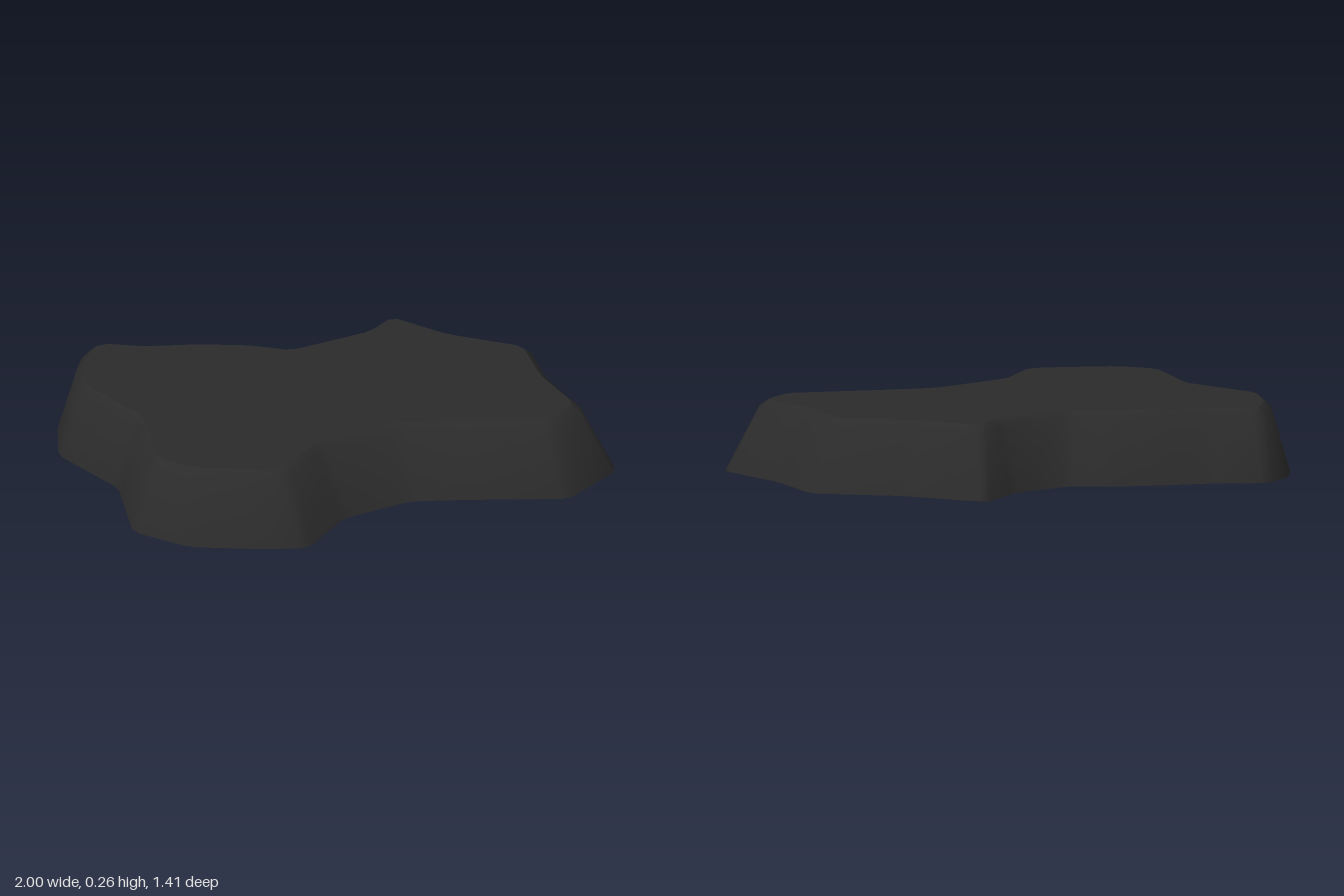
import * as THREE from 'three';
import { toCreasedNormals } from 'three/addons/utils/BufferGeometryUtils.js';

// Footprint corners (x, z), clockwise seen from above
const corners = [
  [-0.8, -0.655], [-0.59, -0.59], [-0.41, -0.575], [-0.21, -0.535], [-0.08, -0.48],
  [0.16, -0.56], [0.32, -0.72], [0.57, -0.485], [0.87, -0.32], [0.9, -0.035],
  [1.007, 0.275], [0.79, 0.475], [0.41, 0.42], [0.21, 0.4], [-0.05, 0.495],
  [-0.22, 0.71], [-0.39, 0.69], [-0.65, 0.63], [-0.835, 0.475], [-0.83, 0.12],
  [-1.005, -0.18], [-0.97, -0.41], [-0.91, -0.55],
].map(([x, z]) => new THREE.Vector2(x, z));

// Moves every edge inward by d, with mitred corners, then adds a small shift
function inset(points, d, shift) {
  const n = points.length;
  return points.map((p, i) => {
    const a = p.clone().sub(points[(i + n - 1) % n]).normalize();
    const b = points[(i + 1) % n].clone().sub(p).normalize();
    const na = new THREE.Vector2(-a.y, a.x);
    const nb = new THREE.Vector2(-b.y, b.x);
    const miter = na.clone().add(nb).multiplyScalar(d / (1 + na.dot(nb)));
    return p.clone().add(miter).add(shift);
  });
}

// Replaces each corner with a short chamfer
function chamfer(points, size) {
  const n = points.length;
  return points.flatMap((p, i) => [points[(i + n - 1) % n], points[(i + 1) % n]].map((q) => {
    const v = q.clone().sub(p);
    return p.clone().addScaledVector(v, Math.min(size / v.length(), 0.4));
  }));
}

// Open band between horizontal rings
function loft(rings) {
  const n = rings[0].points.length;
  const positions = [];
  const index = [];
  rings.forEach(({ points, y }) => points.forEach((p) => positions.push(p.x, y, p.y)));
  for (let r = 0; r < rings.length - 1; r++) {
    for (let i = 0; i < n; i++) {
      const a = r * n + i;
      const b = r * n + (i + 1) % n;
      index.push(a, a + n, b, b, a + n, b + n);
    }
  }
  const geometry = new THREE.BufferGeometry();
  geometry.setAttribute('position', new THREE.Float32BufferAttribute(positions, 3));
  geometry.setIndex(index);
  return toCreasedNormals(geometry, 0.8);
}

export function createModel() {
  const group = new THREE.Group();
  group.name = 'rockPlateau';
  const material = new THREE.MeshStandardMaterial({ color: 0x2b2b2b, side: THREE.DoubleSide });
  material.name = 'charcoal';

  // Footprint, shoulder and rim outlines
  const rings = [
    { d: 0, y: 0, shift: [0, 0] },
    { d: 0.088, y: 0.24, shift: [-0.018, -0.008] },
    { d: 0.118, y: 0.265, shift: [-0.018, -0.012] },
  ].map(({ d, y, shift }) => ({
    y,
    points: chamfer(inset(corners, d, new THREE.Vector2(...shift)), 0.025),
  }));

  // Sloping sides with a bevelled shoulder, open underneath
  const sides = new THREE.Mesh(loft(rings), material);
  sides.name = 'slopingSides';
  group.add(sides);

  // Flat top
  const rim = rings[2];
  const shape = new THREE.Shape(rim.points.map((p) => new THREE.Vector2(p.x, -p.y)));
  const top = new THREE.Mesh(new THREE.ShapeGeometry(shape).rotateX(-Math.PI / 2), material);
  top.position.y = rim.y;
  top.name = 'flatTop';
  group.add(top);

  return group;
}
